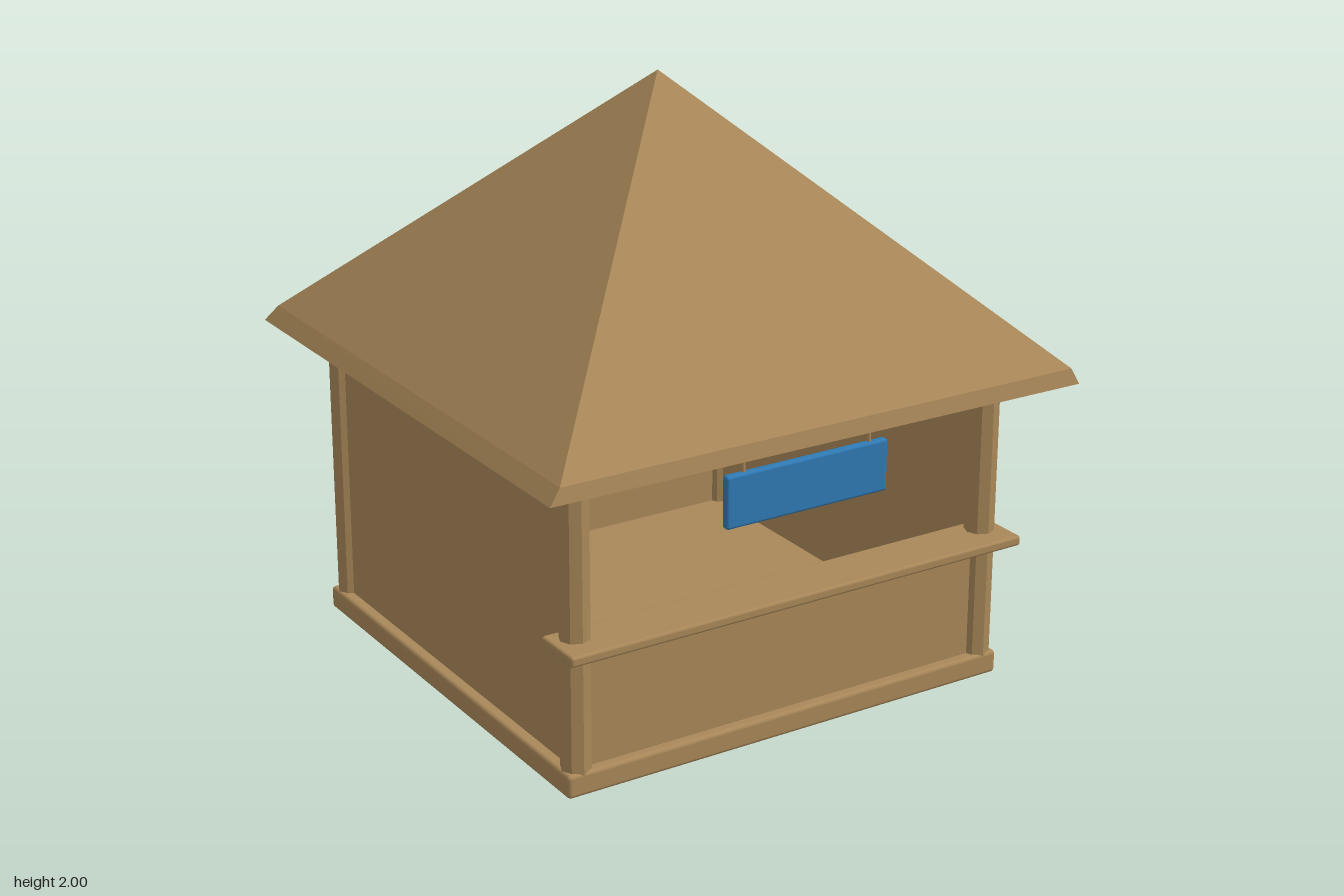
import * as THREE from 'three';
import { RoundedBoxGeometry } from 'three/addons/geometries/RoundedBoxGeometry.js';
import { ConvexGeometry } from 'three/addons/geometries/ConvexGeometry.js';

export function createModel() {
  const model = new THREE.Group();
  model.name = 'marketBooth';

  const wood = new THREE.MeshStandardMaterial({ color: 0xa98859 });
  wood.name = 'wood';
  const blue = new THREE.MeshStandardMaterial({ color: 0x2f7ab5 });
  blue.name = 'blue paint';

  const add = (name, geometry, material, x, y, z) => {
    const mesh = new THREE.Mesh(geometry, material);
    mesh.name = name;
    mesh.position.set(x, y, z);
    model.add(mesh);
    return mesh;
  };
  // Board with softened edges, given by its extents
  const board = (name, material, [x0, x1], [y0, y1], [z0, z1], radius) =>
    add(name, new RoundedBoxGeometry(x1 - x0, y1 - y0, z1 - z0, 2, radius), material,
      (x0 + x1) / 2, (y0 + y1) / 2, (z0 + z1) / 2);

  const cx = -0.015; // the booth sits slightly off the roof's centre
  const half = 0.77; // distance from the booth's centre to posts and walls
  const wallTop = 1.035, floorTop = 0.08;

  // Floor slab
  board('floor', wood, [-0.84, 0.81], [0, floorTop], [-0.825, 0.82], 0.014);

  // Eight-sided corner posts
  const postGeometry = new THREE.CylinderGeometry(0.05, 0.05, 1.0, 8).toNonIndexed();
  postGeometry.computeVertexNormals();
  for (const sx of [-1, 1]) {
    for (const sz of [-1, 1]) {
      const name = (sz > 0 ? 'front' : 'back') + (sx > 0 ? 'Left' : 'Right') + 'Post';
      add(name, postGeometry, wood, cx + sx * half, 0.57, sz * half);
    }
  }

  // Full walls on the sides and back, half wall at the front
  const wallHeight = wallTop - floorTop + 0.01;
  const wallY = wallTop - wallHeight / 2;
  const sideWall = new THREE.BoxGeometry(0.03, wallHeight, 2 * half);
  add('leftWall', sideWall, wood, cx + half, wallY, 0);
  add('rightWall', sideWall, wood, cx - half, wallY, 0);
  add('backWall', new THREE.BoxGeometry(2 * half, wallHeight, 0.03), wood, cx, wallY, -half);
  add('frontWall', new THREE.BoxGeometry(2 * half, 0.43, 0.03), wood, cx, 0.285, half);

  // Serving counter
  board('counter', wood, [-0.865, 0.835], [0.48, 0.515], [0.705, 0.89], 0.01);

  // Hanging sign and its two cords
  board('sign', blue, [-0.315, 0.285], [0.795, 0.97], [0.855, 0.885], 0.01);
  for (const x of [-0.248, 0.22]) {
    add('signCord', new THREE.CylinderGeometry(0.006, 0.006, 0.1, 8), wood, x, 1.01, 0.87);
  }

  // Slightly crooked pyramid roof with a bevelled eave
  const roofPoints = [
    [-0.975, 1.05, 0.967], [0.975, 1.042, 0.972], [0.955, 1.04, -0.975], [-0.975, 1.048, -0.972],
    [-0.935, 1.1, 0.955], [0.95, 1.095, 0.96], [0.945, 1.092, -0.945], [-0.935, 1.1, -0.945],
    [-0.012, 2, 0.01],
  ].map((p) => new THREE.Vector3(...p));
  add('roof', new ConvexGeometry(roofPoints), wood, 0, 0, 0);

  return model;
}
